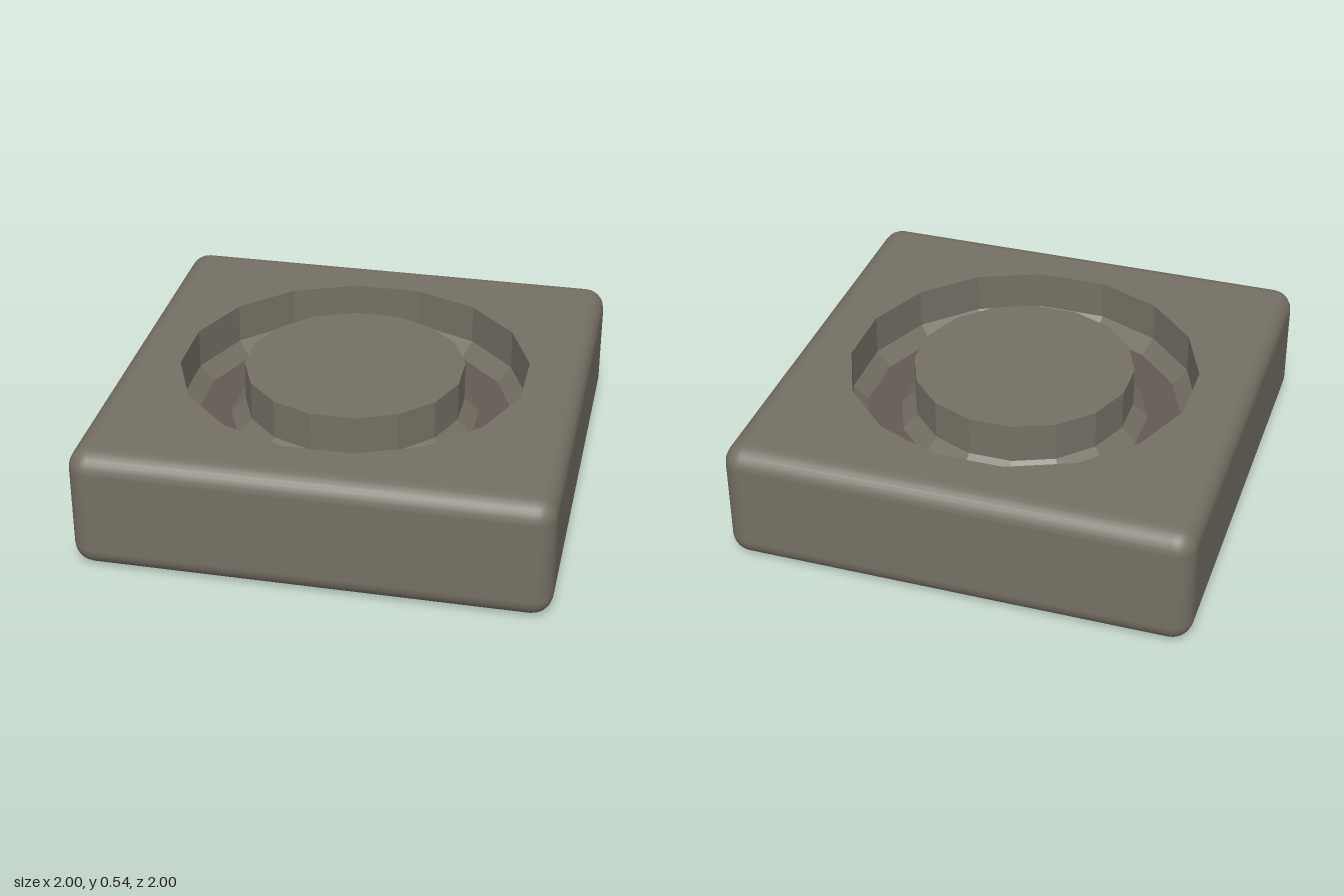
import * as THREE from 'three';
import { RoundedBoxGeometry } from 'three/addons/geometries/RoundedBoxGeometry.js';

const HEIGHT = 0.54, EDGE = 0.09, SIDES = 16;
const FLOOR = 0.30, CHAMFER = 0.065; // groove floor height and its corner chamfer
const OUTER = 0.762, INNER = 0.482;  // groove corner radii

// Rounded block with its flat top face left out, so that the groove can open there
function openBlock() {
  const box = new RoundedBoxGeometry(2, HEIGHT, 2, 3, EDGE);
  box.translate(0, HEIGHT / 2, 0);
  const src = box.index ? box.toNonIndexed() : box;
  const p = src.attributes.position, n = src.attributes.normal;
  const pos = [], nor = [];
  for (let i = 0; i < p.count; i += 3) {
    if ([0, 1, 2].every(k => p.getY(i + k) > HEIGHT - 1e-4)) continue;
    for (let k = i; k < i + 3; k++) {
      pos.push(p.getX(k), p.getY(k), p.getZ(k));
      nor.push(n.getX(k), n.getY(k), n.getZ(k));
    }
  }
  const g = new THREE.BufferGeometry();
  g.setAttribute('position', new THREE.Float32BufferAttribute(pos, 3));
  g.setAttribute('normal', new THREE.Float32BufferAttribute(nor, 3));
  return g;
}

// Flat top with a sixteen-sided opening
function topFace() {
  const h = 1 - EDGE;
  const shape = new THREE.Shape([[-h, -h], [h, -h], [h, h], [-h, h]].map(c => new THREE.Vector2(...c)));
  const ring = [];
  for (let i = 0; i < SIDES; i++) {
    const a = (i + 0.5) / SIDES * Math.PI * 2;
    ring.push(new THREE.Vector2(Math.cos(a) * OUTER, Math.sin(a) * OUTER));
  }
  shape.holes.push(new THREE.Path(ring));
  return new THREE.ShapeGeometry(shape).rotateX(-Math.PI / 2).translate(0, HEIGHT, 0);
}

// Sixteen-sided turned part, flats facing the axes
function turned(profile) {
  return new THREE.LatheGeometry(profile.map(c => new THREE.Vector2(...c)), SIDES, Math.PI / SIDES);
}

export function createModel() {
  const model = new THREE.Group();
  const stone = new THREE.MeshStandardMaterial({ color: 0x757064 });
  const facetedStone = new THREE.MeshStandardMaterial({ color: 0x757064, flatShading: true });
  const floorStone = new THREE.MeshStandardMaterial({ color: 0x625a52, flatShading: true });

  const add = (name, geometry, material) => {
    const mesh = new THREE.Mesh(geometry, material);
    mesh.name = name;
    model.add(mesh);
  };

  add('block', openBlock(), stone);
  add('topFace', topFace(), stone);
  add('grooveWall', turned([
    [OUTER, HEIGHT], [OUTER, FLOOR + CHAMFER], [OUTER - CHAMFER, FLOOR],
  ]), facetedStone);
  add('grooveFloor', turned([[OUTER - CHAMFER, FLOOR], [INNER + CHAMFER, FLOOR]]), floorStone);
  add('centreStud', turned([
    [INNER + CHAMFER, FLOOR], [INNER, FLOOR + CHAMFER], [INNER, HEIGHT], [0, HEIGHT],
  ]), facetedStone);
  return model;
}
